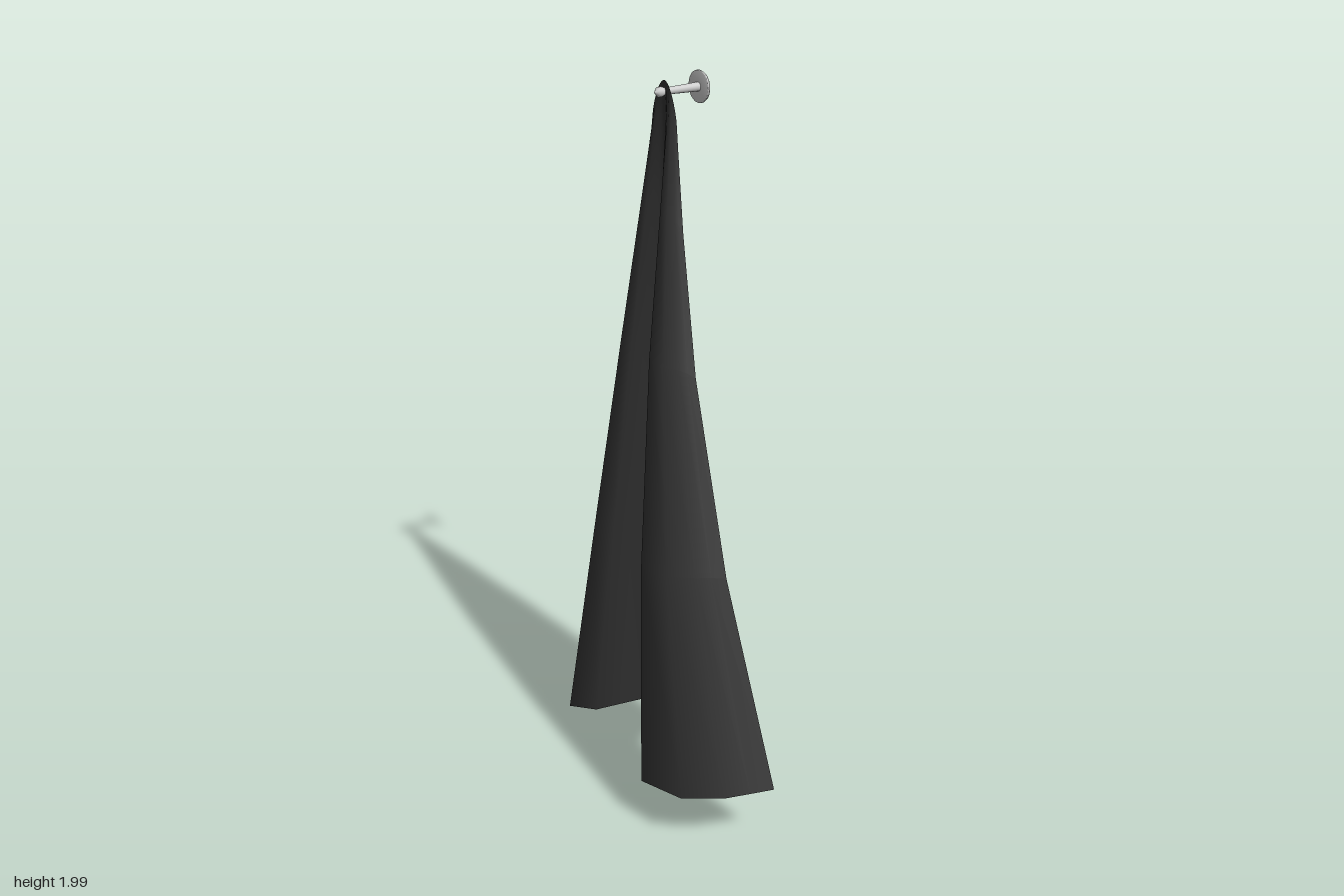
import * as THREE from 'three';

// Hem of the cloth from the front corner to the back corner: x, y, z, and sideways bulge of the column above it
const HEM = [
  [0.03, 0.195, 0.555, -0.045], [-0.03, 0.19, 0.53, -0.04], [-0.09, 0.182, 0.5, -0.035],
  [-0.18, 0.17, 0.42, -0.03], [-0.205, 0.147, 0.265, -0.022], [-0.1, 0.13, 0.125, -0.012],
  [-0.045, 0.14, 0.07, -0.005], [0.065, 0.16, 0.035, 0], [0.14, 0.167, 0, 0],
  [0.125, 0.15, -0.055, 0], [0.08, 0.125, -0.1, 0], [0.02, 0.085, -0.17, 0],
  [-0.04, 0.055, -0.225, 0], [-0.075, 0.03, -0.32, 0], [0.01, 0.01, -0.425, 0.005],
  [0.13, 0.01, -0.495, 0.008], [0.185, 0.055, -0.555, 0.01],
];
const ROWS = [0, 0.04, 0.16, 0.37, 0.67, 1];

// Hanging sheet: each column runs from the gathered top down to the hem
function clothGeometry() {
  const n = HEM.length, pos = [], index = [];
  for (const t of ROWS) {
    HEM.forEach(([hx, hy, hz, bulge], i) => {
      const u = i / (n - 1);
      const top = new THREE.Vector3(
        0.07 + 0.02 * u,
        1.9 + 0.09 * Math.pow(Math.sin(Math.PI * u), 0.8),
        0.02 - 0.135 * u);
      const p = top.lerp(new THREE.Vector3(hx, hy, hz), t);
      const s = Math.sin(Math.PI * t);
      p.x += bulge * s;
      p.z -= 0.025 * (1 - u) * s;
      pos.push(p.x, p.y, p.z);
    });
  }
  for (let r = 0; r < ROWS.length - 1; r++) {
    for (let i = 0; i < n - 1; i++) {
      const a = r * n + i, b = a + 1, c = a + n, d = c + 1;
      index.push(a, b, c, b, d, c);
    }
  }
  const g = new THREE.BufferGeometry();
  g.setAttribute('position', new THREE.Float32BufferAttribute(pos, 3));
  g.setIndex(index);
  g.computeVertexNormals();
  return g;
}

export function createModel() {
  const model = new THREE.Group();
  const clothMat = new THREE.MeshStandardMaterial({ color: 0x333333, side: THREE.DoubleSide });
  const pegMat = new THREE.MeshStandardMaterial({ color: 0xcccccc });

  const cloth = new THREE.Mesh(clothGeometry(), clothMat);
  cloth.name = 'hangingCloth';
  model.add(cloth);

  // Wall peg, built along y then laid along +x
  const peg = new THREE.Group();
  peg.name = 'peg';
  const lathe = (name, pts) => {
    const m = new THREE.Mesh(
      new THREE.LatheGeometry(pts.map(([r, y]) => new THREE.Vector2(r, y)), 24), pegMat);
    m.name = name;
    peg.add(m);
  };
  lathe('pegTip', [[0, 0], [0.013, 0.012], [0.013, 0.022], [0.009, 0.032]]);
  lathe('pegShaft', [[0.009, 0.032], [0.012, 0.137]]);
  lathe('pegHead', [[0.012, 0.137], [0.042, 0.137], [0.043, 0.141], [0.04, 0.147], [0.02, 0.15], [0, 0.151]]);
  peg.rotation.z = -Math.PI / 2 - 0.02;
  peg.position.set(0.05, 1.961, -0.052);
  model.add(peg);

  return model;
}
